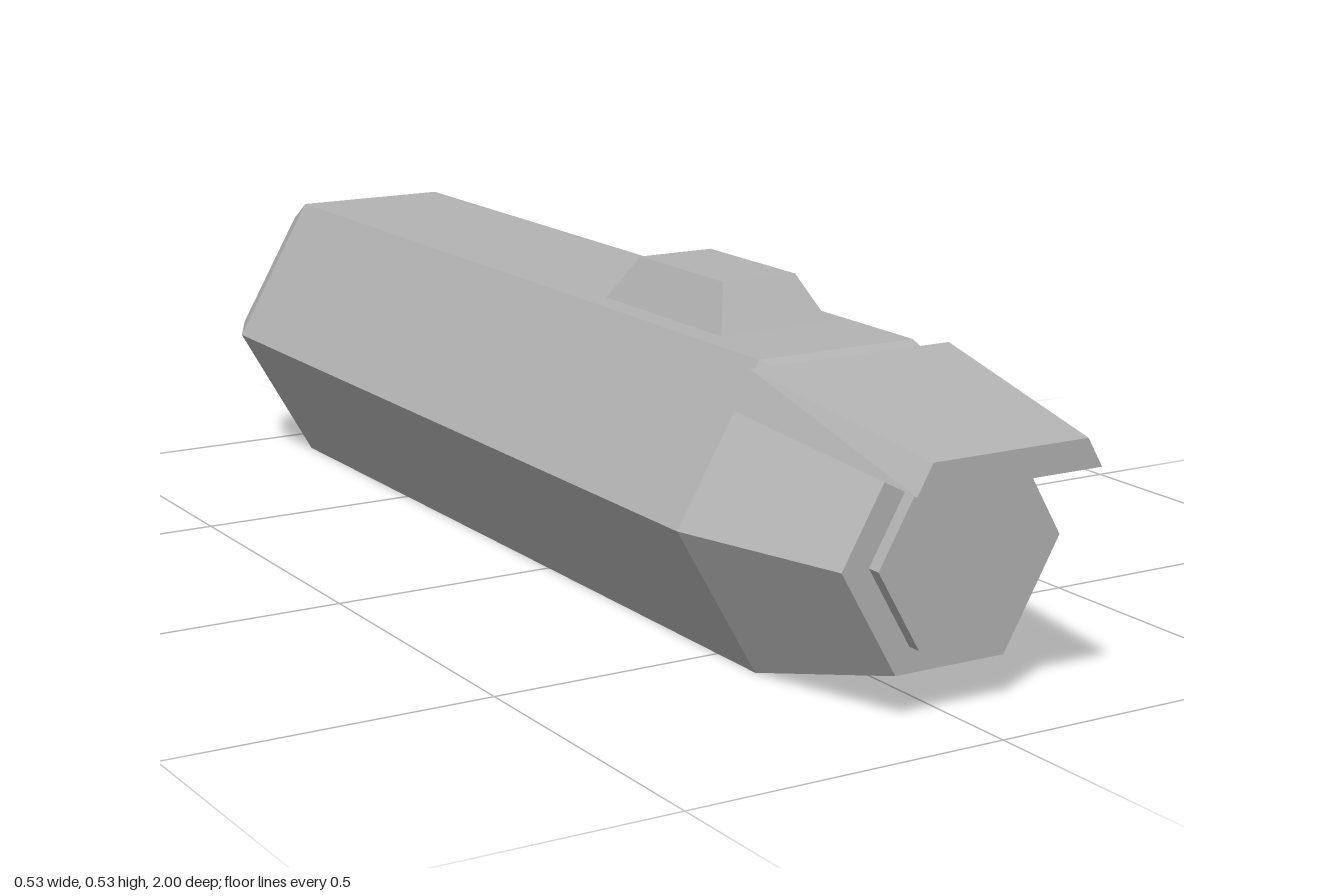
import * as THREE from 'three';

// Closed faceted solid through cross-sections { z, pts }, rear to front,
// with points counter-clockwise seen from +z
function loft(sections) {
  const pos = [];
  const rings = sections.map(({ z, pts }) => pts.map(([x, y]) => [x, y, z]));
  const tri = (...corners) => corners.forEach((p) => pos.push(...p));
  const n = rings[0].length;
  for (let i = 0; i < rings.length - 1; i++) {
    for (let k = 0; k < n; k++) {
      const m = (k + 1) % n;
      const [a, b, c, d] = [rings[i][k], rings[i][m], rings[i + 1][m], rings[i + 1][k]];
      tri(a, b, c);
      tri(a, c, d);
    }
  }
  const rear = rings[0], front = rings[rings.length - 1];
  for (let k = 1; k < n - 1; k++) {
    tri(rear[0], rear[k + 1], rear[k]);
    tri(front[0], front[k], front[k + 1]);
  }
  const geometry = new THREE.BufferGeometry();
  geometry.setAttribute('position', new THREE.Float32BufferAttribute(pos, 3));
  geometry.computeVertexNormals();
  return geometry;
}

const AXIS_Y = 0.2295;

// Hexagon with a corner on each side
function hexagon(z, radius) {
  const pts = [];
  for (let k = 0; k < 6; k++) {
    const a = (k * Math.PI) / 3;
    pts.push([radius * Math.cos(a), AXIS_Y + radius * Math.sin(a)]);
  }
  return { z, pts };
}

// Symmetric four-sided section
function trapezoid(z, bottom, top, bottomHalf, topHalf) {
  return { z, pts: [[-bottomHalf, bottom], [bottomHalf, bottom], [topHalf, top], [-topHalf, top]] };
}

export function createModel() {
  const group = new THREE.Group();
  const grey = new THREE.MeshStandardMaterial({ color: 0xb3b3b3 });
  grey.name = 'hull grey';

  const add = (name, geometry) => {
    const mesh = new THREE.Mesh(geometry, grey);
    mesh.name = name;
    group.add(mesh);
    return mesh;
  };

  // Hexagonal hull, tapered at both ends
  add('hull', loft([
    hexagon(-1, 0.213), hexagon(-0.895, 0.264), hexagon(0.6, 0.264), hexagon(0.88, 0.183),
  ]));

  // Raised plate on the nose
  add('nosePlate', loft([hexagon(0.87, 0.139), hexagon(0.902, 0.139)]));

  // Sloping visor over the nose
  add('visor', loft([
    trapezoid(0.635, 0.4, 0.456, 0.195, 0.17),
    trapezoid(1, 0.357, 0.4, 0.152, 0.127),
  ]));

  // Tapered block on the roof, lofted upward
  const roofBlock = loft([
    trapezoid(0.457, -0.446, -0.118, 0.095, 0.095),
    trapezoid(0.527, -0.4, -0.168, 0.063, 0.063),
  ]);
  roofBlock.rotateX(-Math.PI / 2);
  add('roofBlock', roofBlock);

  return group;
}
